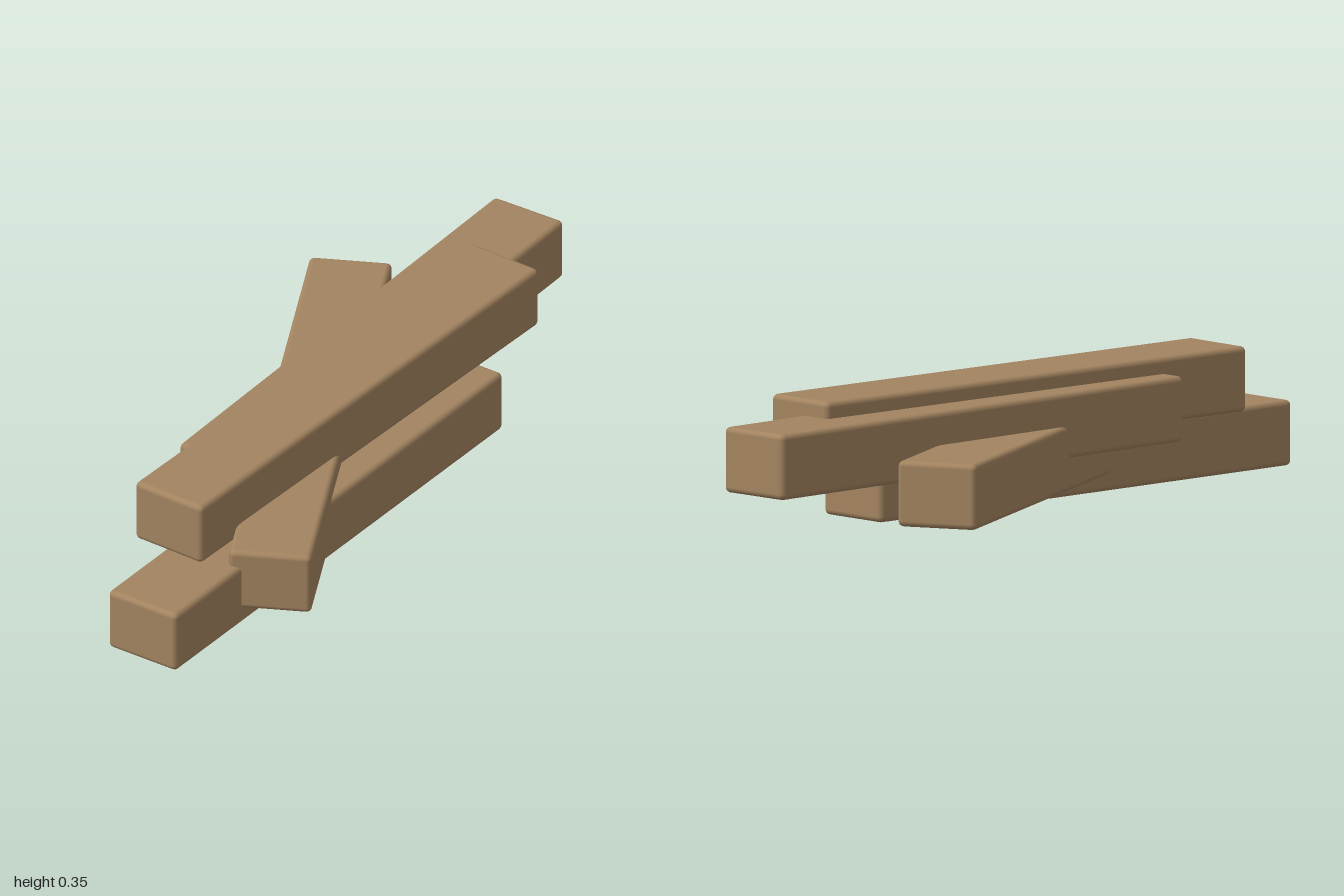
import * as THREE from 'three';
import { RoundedBoxGeometry } from 'three/addons/geometries/RoundedBoxGeometry.js';

export function createModel() {
  const model = new THREE.Group();
  model.name = 'plankPile';
  const wood = new THREE.MeshStandardMaterial({ color: 0xa38460 });
  wood.name = 'wood';

  // One beam with softened edges, shared by the whole pile
  const height = 0.175;
  const beam = new RoundedBoxGeometry(0.22, height, 1.49, 2, 0.015);

  // name, centre x, underside y, centre z, turn in degrees
  const planks = [
    ['bottomPlank', 0.198, 0, 0.247, 9.1],
    ['crossPlank', -0.002, 0.046, 0.025, 36.2],
    ['rearPlank', -0.049, 0.134, -0.252, 10.5],
    ['topPlank', 0.087, 0.178, 0.016, 7.8],
  ];
  for (const [name, x, y, z, turn] of planks) {
    const plank = new THREE.Mesh(beam, wood);
    plank.name = name;
    plank.position.set(x, y + height / 2, z);
    plank.rotation.y = THREE.MathUtils.degToRad(turn);
    model.add(plank);
  }
  return model;
}
